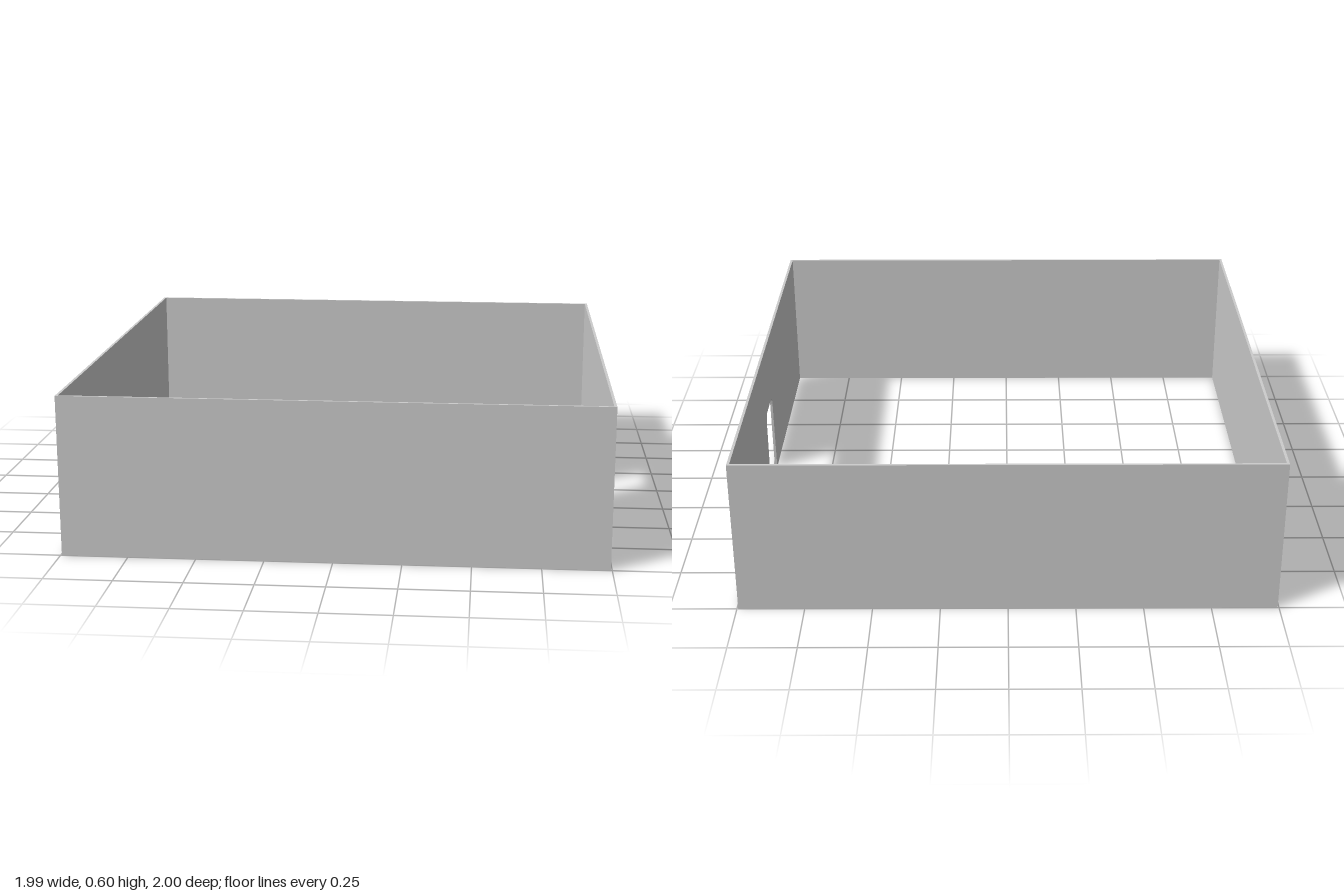
import * as THREE from 'three';

const HALF_X = 0.995, HALF_Z = 1, HEIGHT = 0.6, THICK = 0.01;

export function createModel() {
  const group = new THREE.Group();
  group.name = 'walledEnclosure';
  const material = new THREE.MeshStandardMaterial({ color: 0xcccccc, flatShading: true });

  function add(name, geometry, x, y, z) {
    const mesh = new THREE.Mesh(geometry, material);
    mesh.name = name;
    mesh.position.set(x, y, z);
    group.add(mesh);
  }

  // Plain walls: front and back run full width, the right wall fits between them
  const inner = HALF_Z - THICK;
  const wide = new THREE.BoxGeometry(2 * HALF_X, HEIGHT, THICK);
  add('frontWall', wide, 0, HEIGHT / 2, HALF_Z - THICK / 2);
  add('backWall', wide, 0, HEIGHT / 2, -HALF_Z + THICK / 2);
  add('rightWall', new THREE.BoxGeometry(THICK, HEIGHT, 2 * inner), -HALF_X + THICK / 2, HEIGHT / 2, 0);

  // Left wall with a tapered, round-cornered doorway open at the floor
  const wall = new THREE.Shape();
  wall.moveTo(-inner, 0);
  wall.lineTo(-0.1, 0);
  wall.lineTo(-0.092, 0.305);
  wall.quadraticCurveTo(-0.09, 0.342, -0.06, 0.342);
  wall.lineTo(0.06, 0.342);
  wall.quadraticCurveTo(0.09, 0.342, 0.092, 0.305);
  wall.lineTo(0.1, 0);
  wall.lineTo(inner, 0);
  wall.lineTo(inner, HEIGHT);
  wall.lineTo(-inner, HEIGHT);
  wall.closePath();
  const doorWall = new THREE.ExtrudeGeometry(wall, { depth: THICK, bevelEnabled: false, curveSegments: 4 });
  doorWall.rotateY(-Math.PI / 2);
  add('leftWallWithDoorway', doorWall, HALF_X, 0, 0);

  return group;
}
